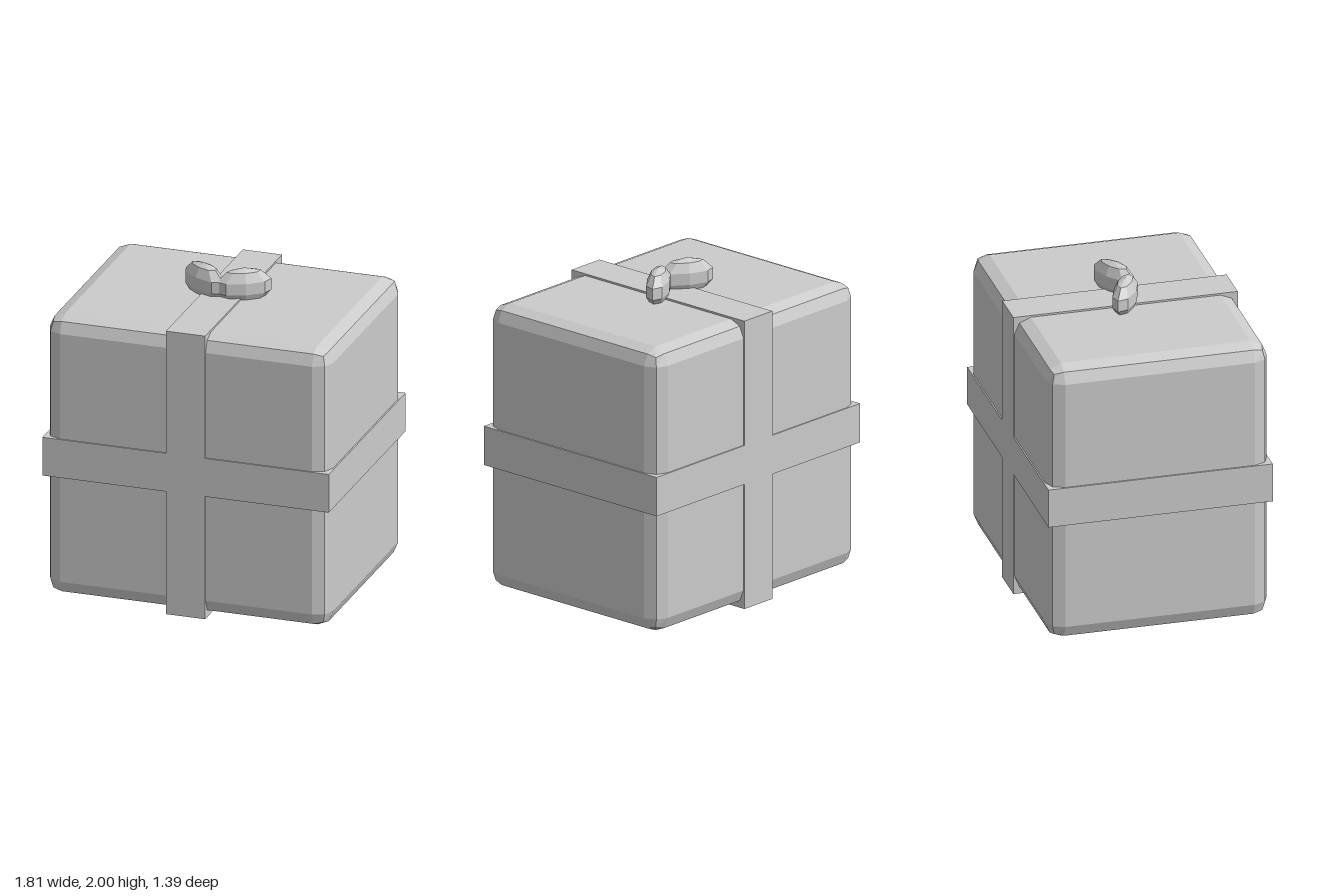
import * as THREE from 'three';
import { RoundedBoxGeometry } from 'three/addons/geometries/RoundedBoxGeometry.js';

const material = new THREE.MeshStandardMaterial({ color: 0xcccccc, flatShading: true });

// Adds a named, faceted mesh
function addPart(parent, name, geometry, x, y, z) {
  const faceted = geometry.index ? geometry.toNonIndexed() : geometry;
  faceted.computeVertexNormals();
  const mesh = new THREE.Mesh(faceted, material);
  mesh.name = name;
  mesh.position.set(x, y, z);
  parent.add(mesh);
  return mesh;
}

export function createModel() {
  const model = new THREE.Group();
  model.name = 'giftBox';

  // Box with two-step bevelled edges
  addPart(model, 'box', new RoundedBoxGeometry(1.795, 1.795, 1.376, 1, 0.1), 0, 0.913, 0);

  // Ribbon bands, slightly proud of the box
  addPart(model, 'verticalRibbon', new THREE.BoxGeometry(0.248, 1.822, 1.392), 0, 0.911, 0);
  addPart(model, 'horizontalRibbon', new THREE.BoxGeometry(1.814, 0.246, 1.392), 0, 0.912, 0);

  // Bow: two flattened faceted loops, swept back from the middle
  const bow = new THREE.Group();
  bow.name = 'bow';
  model.add(bow);
  for (const [name, side] of [['leftBowLoop', 1], ['rightBowLoop', -1]]) {
    const geometry = new THREE.SphereGeometry(1, 8, 5).scale(0.177, 0.117, 0.072);
    const loop = addPart(bow, name, geometry, side * 0.125, 1.883, -0.003);
    loop.rotation.y = side * Math.PI / 6;
  }

  return model;
}
